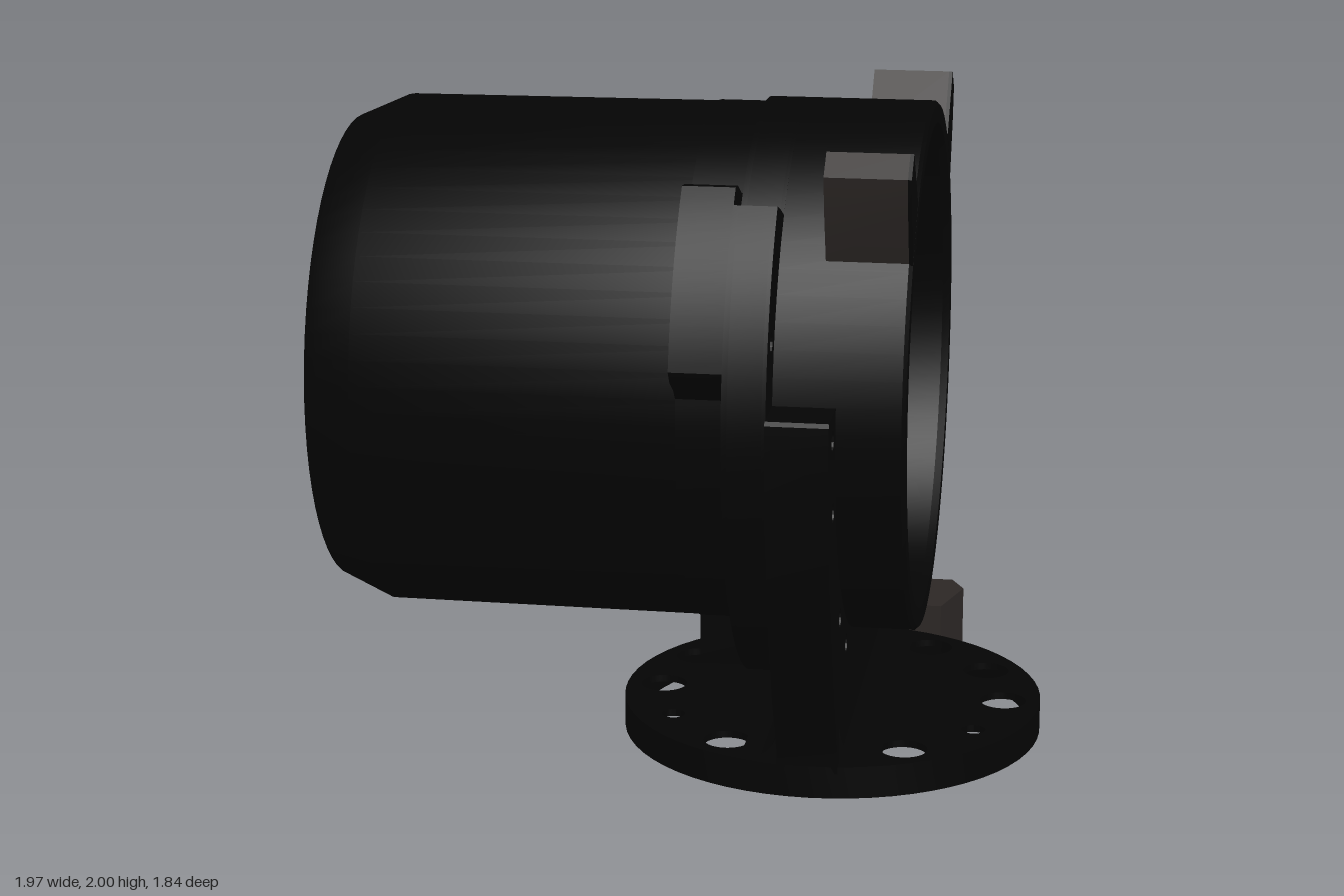
import * as THREE from 'three';
import { toCreasedNormals } from 'three/addons/utils/BufferGeometryUtils.js';

const dark = new THREE.MeshStandardMaterial({ color: 0x040404, side: THREE.DoubleSide });
const grey = new THREE.MeshStandardMaterial({ color: 0x2c2725 });
const AXIS_Y = 1.27, AXIS_Z = 0.035, POST_X = 0.4;
const BOLTS = [0, -14.6, -44.5, -59.5, 180, 194.6, 224.5, 239.5];
const UPPER_BOLTS = [18, 162];
const rad = THREE.MathUtils.degToRad;

function add(parent, name, geometry, material = dark) {
  const mesh = new THREE.Mesh(toCreasedNormals(geometry, 0.5), material);
  mesh.name = name;
  parent.add(mesh);
  return mesh;
}

// Shape from [x, y] corners
const poly = (pts) => new THREE.Shape(pts.map(([x, y]) => new THREE.Vector2(x, y)));

function disc(r) {
  const s = new THREE.Shape();
  s.absarc(0, 0, r, 0, Math.PI * 2);
  return s;
}

function hole(shape, x, y, r) {
  const p = new THREE.Path();
  p.absarc(x, y, r, 0, Math.PI * 2, true);
  shape.holes.push(p);
}

// Holes on a circle, at angles in degrees
function holeRing(shape, r, size, angles) {
  for (const a of angles) hole(shape, r * Math.cos(rad(a)), r * Math.sin(rad(a)), size);
}

const extrude = (shape, depth, curveSegments = 32, steps = 1) =>
  new THREE.ExtrudeGeometry(shape, { depth, bevelEnabled: false, curveSegments, steps });

// Plate standing across the motor axis, from x0 to x1
const plateX = (shape, x0, x1) =>
  extrude(shape, x1 - x0).rotateY(Math.PI / 2).translate(x0, 0, 0);

// Closed ring turned around the x axis from [radius, x] points
const turned = (pts) =>
  new THREE.LatheGeometry(pts.map(([r, x]) => new THREE.Vector2(r, x)), 64).rotateZ(-Math.PI / 2);

// Round outline of radius r0 with lobes (or inward tabs) of radius r1
function lobed(r0, r1, centres, half) {
  const pts = [];
  for (let a = 0; a < 360; a += 2) {
    let t = 0;
    for (const c of centres) {
      const d = Math.abs(((a - c + 540) % 360) - 180);
      t = Math.max(t, THREE.MathUtils.clamp((half + 4 - d) / 4, 0, 1));
    }
    const r = r0 + (r1 - r0) * t;
    pts.push([r * Math.cos(rad(a)), r * Math.sin(rad(a))]);
  }
  return poly(pts);
}

function addMotor(group) {
  const sixths = [0, 60, 120, 180, 240, 300];

  // Can with chamfered rear edge
  add(group, 'motorCan', turned([
    [0.65, -0.945], [0.71, -0.81], [0.715, 0.205], [0.66, 0.205], [0.66, -0.79], [0.63, -0.9], [0.65, -0.945],
  ]));

  // Rear plate with the round opening, cable hole and vents
  const back = disc(0.65);
  hole(back, 0, 0, 0.402);
  hole(back, 0.46, 0.27, 0.09);
  holeRing(back, 0.6, 0.026, sixths);
  holeRing(back, 0.605, 0.035, [77, 137, 283]);
  add(group, 'rearPlate', plateX(back, -0.945, -0.9));

  // Rear cap, drilled and slotted
  const cap = disc(0.388);
  for (const [x, y] of [[0.05, 0.335], [0.175, 0.295], [-0.315, -0.08], [0.05, -0.33], [0.175, -0.285]]) {
    hole(cap, x, y, 0.027);
  }
  cap.holes.push(poly([[-0.06, 0.21], [-0.06, 0.275], [0.075, 0.275], [0.075, 0.21]]));
  add(group, 'rearCap', plateX(cap, -0.985, -0.9));

  // Mounting plate: three outer lobes, six drilled inner tabs
  const mount = lobed(0.717, 0.85, [29, 151, 270], 18);
  mount.holes.push(lobed(0.64, 0.565, sixths, 9));
  holeRing(mount, 0.6, 0.023, sixths);
  holeRing(mount, 0.78, 0.027, UPPER_BOLTS);
  add(group, 'motorMountPlate', plateX(mount, 0.06, 0.2));
}

function addHousing(group) {
  // Open ring at the output end
  add(group, 'frontRing', turned([
    [0.69, 0.31], [0.73, 0.31], [0.73, 0.65], [0.72, 0.66], [0.67, 0.66],
    [0.655, 0.64], [0.655, 0.4], [0.69, 0.36], [0.69, 0.31],
  ]));

  // Hollow flange behind the post: drilled floor, rim and drilled face
  const outline = () => lobed(0.73, 0.86, [270], 132);
  const floor = outline();
  floor.holes.push(lobed(0.7, 0.745, [270], 126));
  holeRing(floor, 0.79, 0.027, [...BOLTS, ...UPPER_BOLTS]);
  add(group, 'flangeFloor', plateX(floor, 0.2, 0.215));
  const rim = outline();
  rim.holes.push(lobed(0.7, 0.83, [270], 128));
  add(group, 'flangeRim', plateX(rim, 0.215, 0.305));
  const face = outline();
  hole(face, 0, 0, 0.69);
  holeRing(face, 0.79, 0.027, [...BOLTS, ...UPPER_BOLTS]);
  add(group, 'flangeFace', plateX(face, 0.305, 0.315));

  // Post plate, widest at the axis and tapering to the base
  const half = [[0.585, -0.99], [0.59, -0.93], [0.69, -0.75], [0.78, -0.53], [0.835, -0.35],
    [0.87, -0.17], [0.885, 0], [0.885, 0.06], [0.875, 0.07], [0.72, 0.07]];
  const arc = [];
  for (let a = 10; a <= 170; a += 5) arc.push([0.72 * Math.cos(rad(a)), 0.72 * Math.sin(rad(a))]);
  const post = poly([...half, ...arc, ...half.map(([x, y]) => [-x, y]).reverse()]);
  hole(post, 0, 0, 0.69);
  holeRing(post, 0.79, 0.027, BOLTS);
  add(group, 'postPlate', plateX(post, 0.315, 0.48));

  // Pair of lugs on the ring, with dark end caps
  const lug = [[0.665, 0.66], [0.605, 0.715], [0.47, 0.56], [0.59, 0.42], [0.645, 0.57]];
  for (const s of [1, -1]) {
    const shape = poly(lug.map(([x, y]) => [s * x, y]));
    const side = s > 0 ? 'rear' : 'front';
    add(group, side + 'Lug', plateX(shape, 0.435, 0.65), grey);
    add(group, side + 'LugCap', plateX(shape, 0.65, 0.66));
  }
}

function addBase(group) {
  // Round foot: thin drilled top over a hollow rim
  const top = disc(0.58);
  for (let a = 0; a < 360; a += 30) {
    if (a % 180 !== 90) holeRing(top, 0.485, a === 30 || a === 150 ? 0.033 : 0.065, [a]);
  }
  add(group, 'footTop', extrude(top, 0.02).rotateX(Math.PI / 2).translate(POST_X, 0.3, AXIS_Z));
  const rim = disc(0.59);
  hole(rim, 0, 0, 0.558);
  add(group, 'footRim', extrude(rim, 0.09).rotateX(Math.PI / 2).translate(POST_X, 0.3, AXIS_Z));

  // Fillets between post and foot
  const fillet = new THREE.Shape();
  fillet.moveTo(-0.19, 0.285);
  fillet.lineTo(-0.19, 0.3);
  fillet.quadraticCurveTo(-0.085, 0.3, -0.085, 0.41);
  fillet.lineTo(0.08, 0.41);
  fillet.quadraticCurveTo(0.08, 0.3, 0.185, 0.3);
  fillet.lineTo(0.185, 0.285);
  add(group, 'postFillet', extrude(fillet, 1.1, 10).translate(POST_X, 0, AXIS_Z - 0.55));

  // Rear tab carrying the clamp block
  const tab = poly([[0.5, 0.27], [0.855, 0.27], [0.855, 0.43], [0.83, 0.45], [0.7, 0.45],
    [0.67, 0.47], [0.65, 0.52], [0.5, 0.52]]);
  add(group, 'rearTab', plateX(tab, 0.315, 0.48));
  add(group, 'rearTabPad', new THREE.BoxGeometry(0.26, 0.07, 0.29).translate(POST_X + 0.01, 0.305, -0.71));

  // Clamp block: its width changes along its depth
  const face = poly([[-0.3, 0], [0.3, 0], [0.3, 0.335], [-0.3, 0.335]]);
  hole(face, 0, 0.2, 0.06);
  const block = extrude(face, 0.26, 24, 13).translate(0, 0, -0.92);
  const p = block.attributes.position;
  for (let i = 0; i < p.count; i++) {
    const x = p.getX(i), z = p.getZ(i);
    if (Math.abs(x) < 0.2) continue;
    const w = z < -0.84 ? 0.26 + (z + 0.92) * 0.5 : 0.3 - (z + 0.84) * 0.3;
    p.setX(i, Math.sign(x) * w);
  }
  add(group, 'clampBlock', block.translate(POST_X + 0.005, 0, 0), grey);

  // Dark insert in the front of the block
  const insert = poly([[-0.13, 0.08], [0.14, 0.08], [0.14, 0.28], [-0.13, 0.28]]);
  hole(insert, 0.005, 0.2, 0.028);
  add(group, 'blockInsert', extrude(insert, 0.018).translate(POST_X, 0, -0.675));
}

export function createModel() {
  const model = new THREE.Group();
  model.name = 'motorOnStand';
  const drive = new THREE.Group();
  drive.name = 'motorAndHousing';
  drive.position.set(0, AXIS_Y, AXIS_Z);
  addMotor(drive);
  addHousing(drive);
  const base = new THREE.Group();
  base.name = 'base';
  addBase(base);
  model.add(drive, base);
  return model;
}
